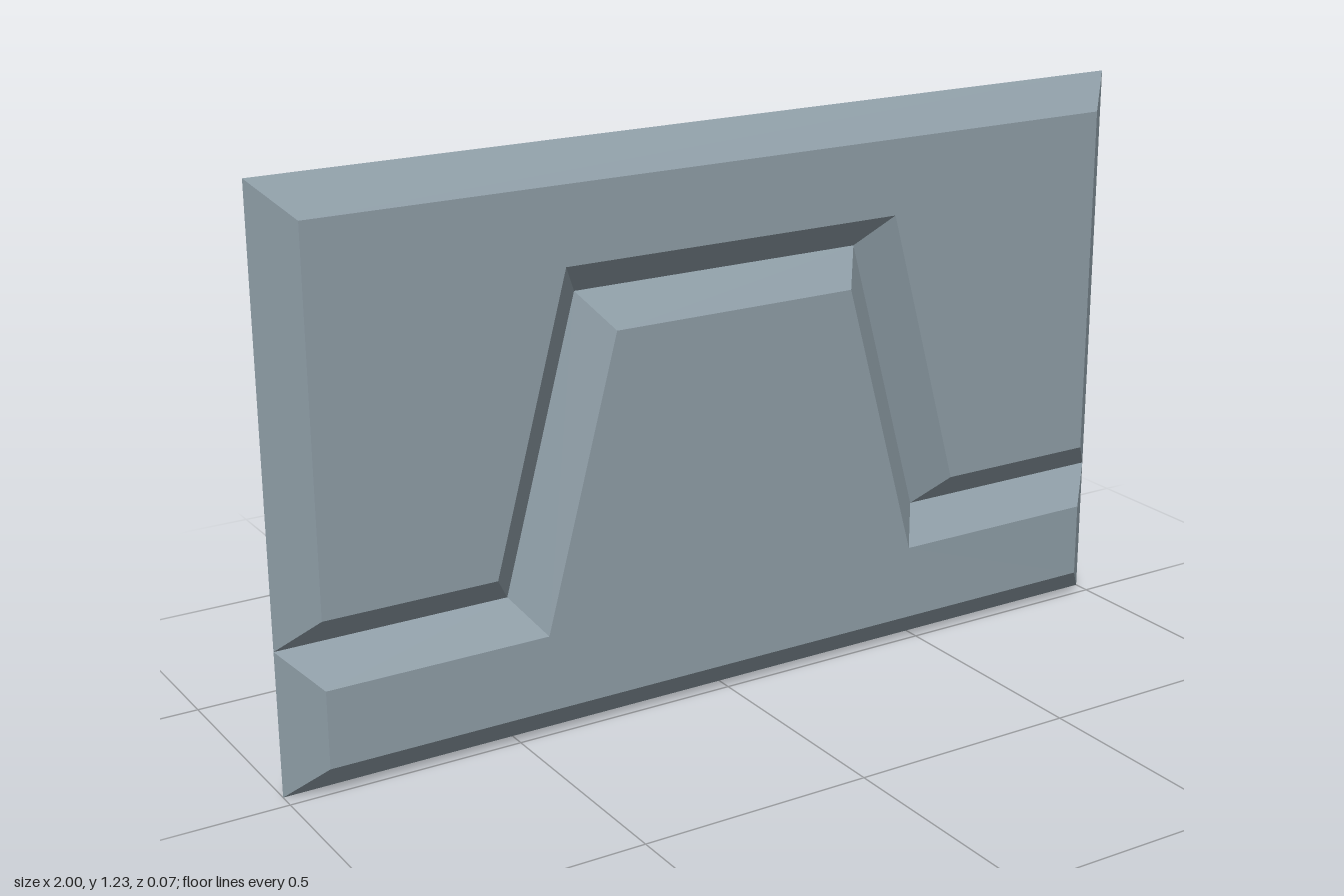
import * as THREE from 'three';

const Z_FRONT = 0.036, Z_BACK = -0.036;

// Completes a right-hand half outline by mirroring it across x = 0
const mirror = (half) => [...half, ...half.map(([x, y]) => [-x, y]).reverse()];

// Open-backed panel: flat front face plus sloping sides flaring to the back rim
function makePanel(name, rim, face, material) {
  const panel = new THREE.Group();
  panel.name = name;

  const shape = new THREE.Shape(face.map(([x, y]) => new THREE.Vector2(x, y)));
  const front = new THREE.Mesh(new THREE.ShapeGeometry(shape), material);
  front.name = name + 'Face';
  front.position.z = Z_FRONT;

  const positions = [];
  rim.forEach((p, i) => {
    const j = (i + 1) % rim.length;
    const a = [...p, Z_BACK], b = [...rim[j], Z_BACK];
    const c = [...face[j], Z_FRONT], d = [...face[i], Z_FRONT];
    positions.push(...a, ...b, ...c, ...a, ...c, ...d);
  });
  const geometry = new THREE.BufferGeometry();
  geometry.setAttribute('position', new THREE.Float32BufferAttribute(positions, 3));
  geometry.computeVertexNormals();
  const bevel = new THREE.Mesh(geometry, material);
  bevel.name = name + 'Bevel';

  panel.add(front, bevel);
  return panel;
}

export function createModel() {
  const material = new THREE.MeshStandardMaterial({ color: 0x8c9ba4 });
  material.name = 'blueGrey';
  material.side = THREE.DoubleSide;

  const model = new THREE.Group();
  model.name = 'bevelledWallPanel';

  // Lower panel with the raised trapezoid in the middle
  model.add(makePanel('lowerPanel',
    mirror([[1, 0], [1, 0.308], [0.502, 0.308], [0.335, 0.92]]),
    mirror([[0.928, 0.072], [0.928, 0.236], [0.447, 0.236], [0.28, 0.848]]),
    material));

  // Upper panel arching over it; both share the bottom line of the groove
  model.add(makePanel('upperPanel',
    mirror([[0.335, 0.92], [0.502, 0.308], [1, 0.308], [1, 1.226]]),
    mirror([[0.39, 0.992], [0.557, 0.38], [0.928, 0.38], [0.928, 1.154]]),
    material));

  return model;
}
